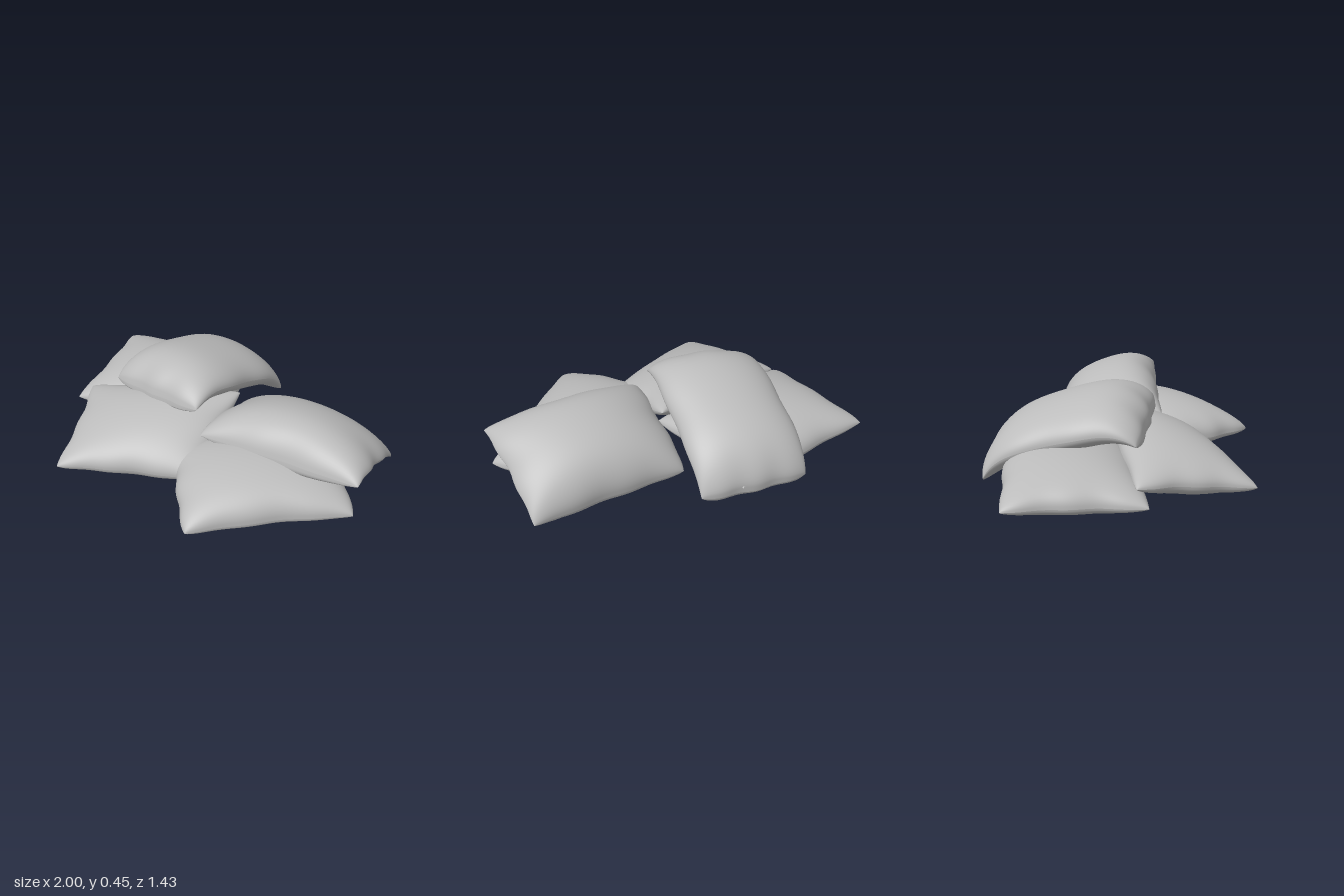
import * as THREE from 'three';

const N = 40; // grid divisions per pillow face

// One soft pillow spanned by four seam corners: front left, front right, back right, back left.
// pinch and full (lower is fuller towards the seam) are given across and along the pillow.
function pillow(name, material, options) {
  const { corners, top, bottom, arch = 0, pinch = [0.07, 0.07], full = [0.9, 0.9], seed } = options;
  const [a, b, c, d] = corners.map(p => new THREE.Vector3(...p));
  // Puffing direction: between the tilted seam plane's normal and straight up
  const normal = new THREE.Vector3().subVectors(c, a)
    .cross(new THREE.Vector3().subVectors(d, b)).normalize();
  normal.y += 0.6;
  normal.normalize();

  const point = (i, j, side) => {
    const s = (i / N - 0.5) * Math.PI, t = (j / N - 0.5) * Math.PI;
    const u = Math.sin(s), v = Math.sin(t);
    // Seams pull in mid-edge, ripple a little, and round off at the corners
    const rippleU = 0.014 * Math.sin(8 * v + seed) * u ** 4 * Math.sign(u) * (1 - v * v);
    const rippleV = 0.014 * Math.sin(9 * u + seed * 2) * v ** 4 * Math.sign(v) * (1 - u * u);
    const round = 1 - 0.025 * (u * v) ** 8;
    const pu = (u * round * (1 - pinch[0] * (1 - v * v)) + rippleU + 1) / 2;
    const pv = (v * round * (1 - pinch[1] * (1 - u * u)) + rippleV + 1) / 2;
    const front = a.clone().lerp(b, pu), back = d.clone().lerp(c, pu);
    const p = front.lerp(back, pv);
    // Stuffing is fullest in the middle; the arch bends the whole pillow over its support
    const puff = Math.max(0, Math.cos(s)) ** full[0] * Math.max(0, Math.cos(t)) ** full[1];
    const lift = arch * (1 - v ** 4) + puff * (side > 0 ? top : -bottom);
    p.addScaledVector(normal, lift);
    p.y = Math.max(p.y, 0.004); // flattened where it rests on the floor
    return p;
  };

  const positions = [], indices = [];
  for (const side of [1, -1]) {
    const base = positions.length / 3;
    for (let j = 0; j <= N; j++)
      for (let i = 0; i <= N; i++) positions.push(...point(i, j, side).toArray());
    for (let j = 0; j < N; j++)
      for (let i = 0; i < N; i++) {
        const p = base + j * (N + 1) + i, q = p + 1, r = q + N + 1, w = p + N + 1;
        if (side > 0) indices.push(p, q, r, p, r, w);
        else indices.push(p, r, q, p, w, r);
      }
  }
  const geometry = new THREE.BufferGeometry();
  geometry.setAttribute('position', new THREE.Float32BufferAttribute(positions, 3));
  geometry.setIndex(indices);
  geometry.computeVertexNormals();
  const mesh = new THREE.Mesh(geometry, material);
  mesh.name = name;
  return mesh;
}

export function createModel() {
  const group = new THREE.Group();
  group.name = 'pillowPile';
  const fabric = new THREE.MeshStandardMaterial({ color: 0xbcbcbc });
  fabric.name = 'greyFabric';

  group.add(
    // Pillows lying on the floor
    pillow('backFloorPillow', fabric, {
      corners: [[-0.86, 0.04, 0.19], [0.04, 0.05, 0.03], [-0.12, 0.06, -0.7], [-1.01, 0.07, -0.515]],
      top: 0.17, bottom: 0.1, seed: 1,
    }),
    pillow('frontFloorPillow', fabric, {
      corners: [[-0.53, 0.02, 0.725], [0.2, 0.04, 0.37], [0.1, 0.27, -0.18], [-0.8, 0.11, 0.11]],
      top: 0.14, bottom: 0.13, seed: 2,
    }),
    pillow('sideFloorPillow', fabric, {
      corners: [[-0.08, 0.06, 0.23], [0.355, 0.02, 0.725], [1, 0.025, 0.105], [0.47, 0.04, -0.41]],
      top: 0.18, bottom: 0.09, pinch: [0.09, -0.02], full: [0.8, 0.85], seed: 3.5,
    }),
    // Pillows leaning on top
    pillow('topPillow', fabric, {
      corners: [[-0.595, 0.25, 0.11], [0.035, 0.32, 0.175], [0.095, 0.025, -0.645], [-0.515, 0.02, -0.71]],
      top: 0.15, bottom: 0.12, arch: 0.105, pinch: [-0.01, -0.03], full: [1, 0.55], seed: 4,
    }),
    pillow('sideTopPillow', fabric, {
      corners: [[0.075, 0.2, 0.215], [1.01, 0.25, 0.135], [0.94, 0.02, -0.45], [0.06, 0.02, -0.405]],
      top: 0.19, bottom: 0.14, arch: 0.05, pinch: [0.025, 0.04], full: [1.2, 0.75], seed: 5,
    }),
  );
  return group;
}
